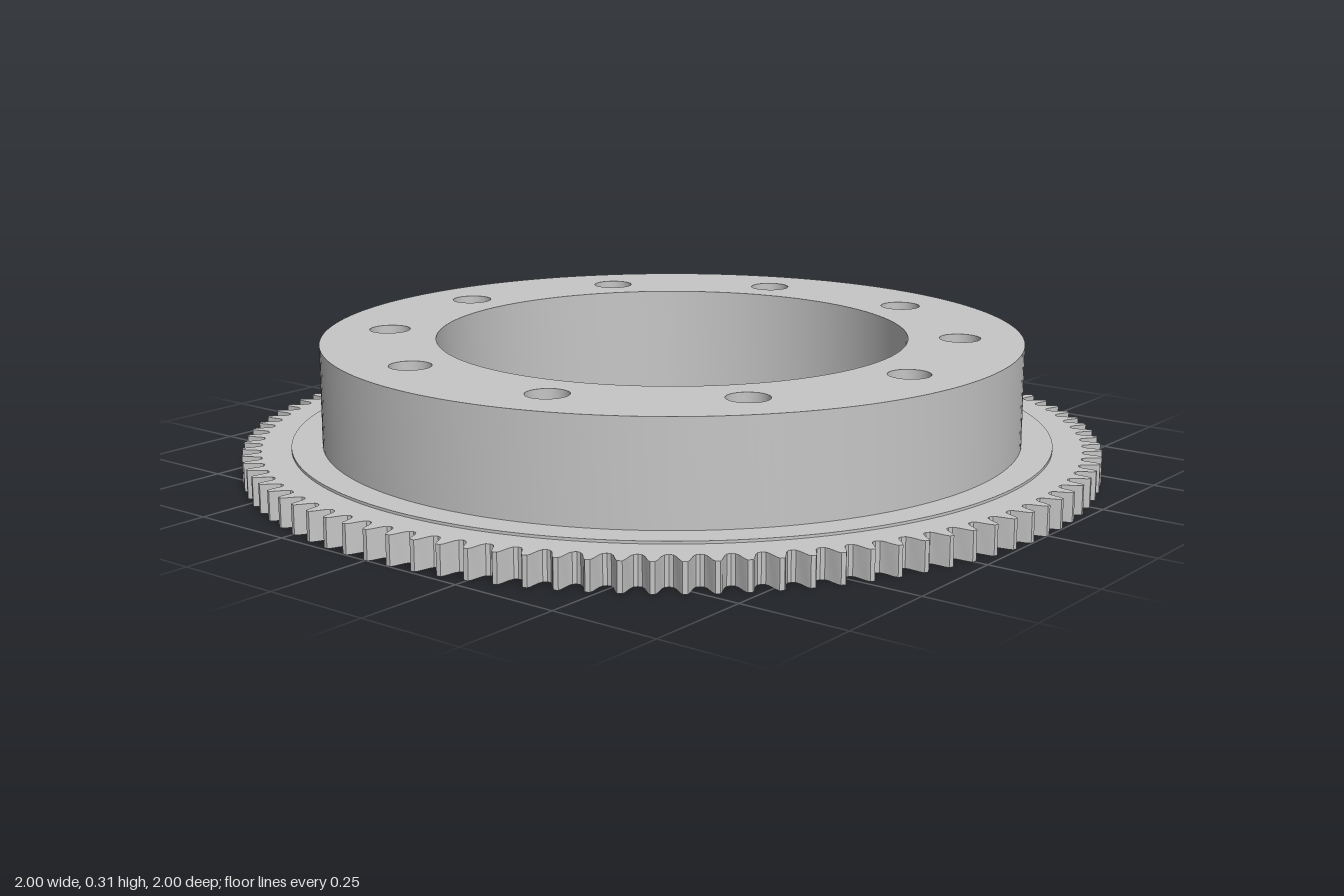
import * as THREE from 'three';
import { toCreasedNormals } from 'three/addons/utils/BufferGeometryUtils.js';

const TEETH = 100;
const BORE = 0.55;

// Point at a clockwise angle from the back (-z) of the model
const polar = (r, a) => new THREE.Vector2(r * Math.sin(a), r * Math.cos(a));

function circlePoints(radius, segments, centre = new THREE.Vector2()) {
  return Array.from({ length: segments }, (_, i) =>
    polar(radius, (i / segments) * Math.PI * 2).add(centre));
}

// Rounded trapezoid teeth: [fraction of pitch, radius]
function gearPoints() {
  const tooth = [[-0.5, 0.955], [-0.36, 0.958], [-0.27, 0.967], [-0.15, 0.992],
    [-0.08, 1], [0.08, 1], [0.15, 0.992], [0.27, 0.967], [0.36, 0.958]];
  const points = [];
  for (let i = 0; i < TEETH; i++) {
    for (const [f, r] of tooth) points.push(polar(r, ((i + f) / TEETH) * Math.PI * 2));
  }
  return points;
}

// Ten evenly spaced round holes
function holeRing(ringRadius, holeRadius, offsetDegrees) {
  return Array.from({ length: 10 }, (_, i) => {
    const a = THREE.MathUtils.degToRad(offsetDegrees + i * 36);
    return new THREE.Path(circlePoints(holeRadius, 24, polar(ringRadius, a)));
  });
}

// Flat plate with a central bore, extruded upwards from y0 to y1
function plate(name, outline, holes, y0, y1, material) {
  // Outline runs opposite to the holes so that every wall faces outwards
  const shape = new THREE.Shape(outline.reverse());
  shape.holes.push(new THREE.Path(circlePoints(BORE, 128)), ...holes);
  const extruded = new THREE.ExtrudeGeometry(shape, { depth: y1 - y0, bevelEnabled: false });
  extruded.rotateX(-Math.PI / 2);
  extruded.translate(0, y0, 0);
  const mesh = new THREE.Mesh(toCreasedNormals(extruded, 0.5), material);
  mesh.name = name;
  return mesh;
}

export function createModel() {
  const group = new THREE.Group();
  group.name = 'ringGear';
  const steel = new THREE.MeshStandardMaterial({ color: 0xc6c6c6 });
  steel.name = 'steelGrey';

  const boltHoles = () => holeRing(0.67, 0.048, 2.4);
  const pinHoles = holeRing(0.59, 0.016, 20.4);

  // Toothed flange, with small blind pin holes open underneath
  group.add(plate('toothedFlange', gearPoints(), [...boltHoles(), ...pinHoles], 0, 0.066, steel));
  // Shallow raised step on the flange
  group.add(plate('flangeStep', circlePoints(0.888, 160), boltHoles(), 0.066, 0.072, steel));
  // Tall mounting collar
  group.add(plate('mountingCollar', circlePoints(0.817, 160), boltHoles(), 0.072, 0.306, steel));

  return group;
}
